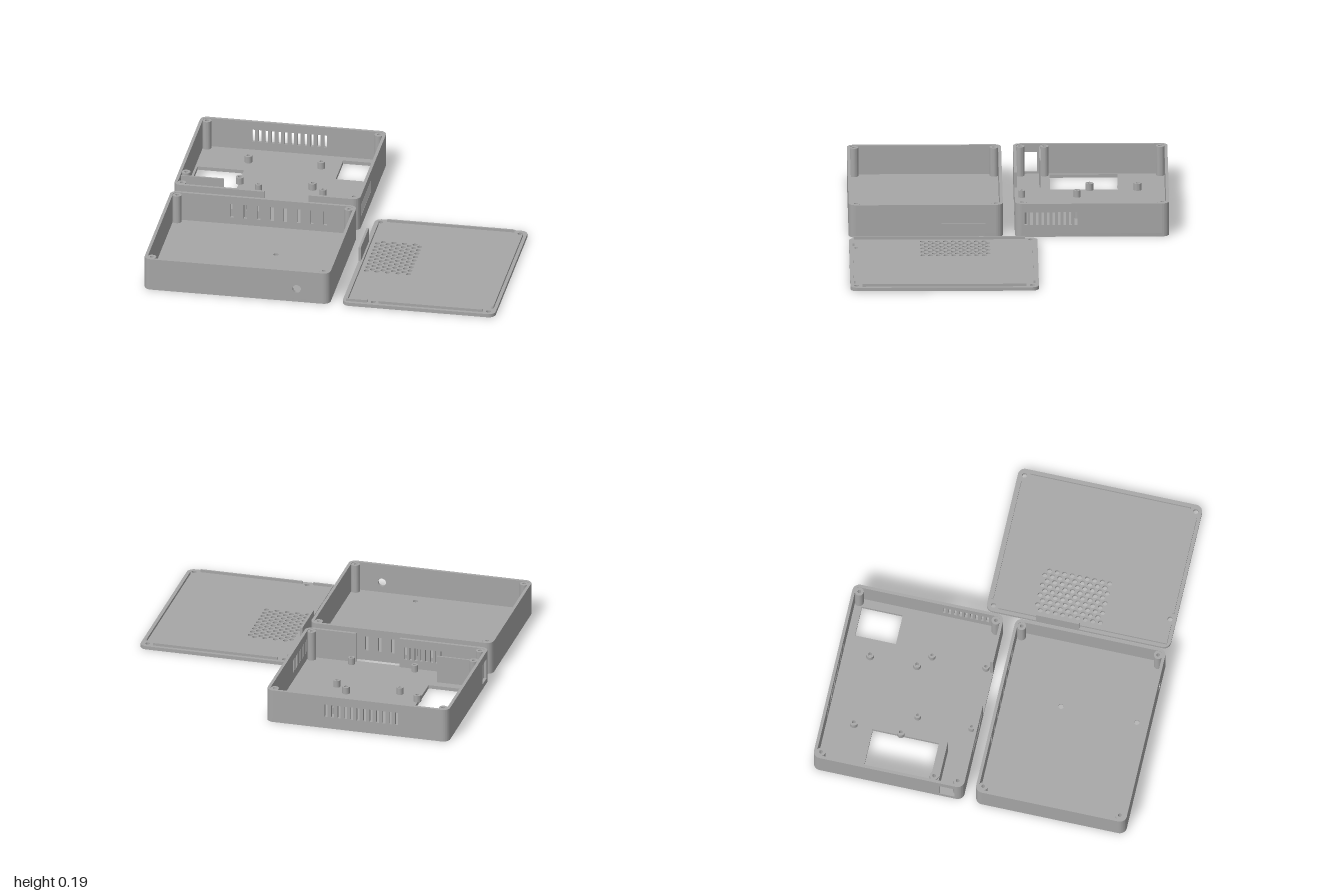
import * as THREE from 'three';
import { toCreasedNormals } from 'three/addons/utils/BufferGeometryUtils.js';

const FLOOR = 0.02, WALL = 0.017, RADIUS = 0.04;

// ---- 2D outlines ----
const circle = (x, y, r) => new THREE.Path().absarc(x, y, r, 0, Math.PI * 2, true);

function rect(x0, y0, x1, y1, Type = THREE.Path) {
  return new Type([[x0, y0], [x1, y0], [x1, y1], [x0, y1]].map(p => new THREE.Vector2(...p)));
}

function roundedRect(x0, y0, x1, y1, r, Type = THREE.Shape) {
  const s = new Type();
  s.absarc(x1 - r, y1 - r, r, 0, Math.PI / 2);
  s.absarc(x0 + r, y1 - r, r, Math.PI / 2, Math.PI);
  s.absarc(x0 + r, y0 + r, r, Math.PI, Math.PI * 1.5);
  s.absarc(x1 - r, y0 + r, r, Math.PI * 1.5, Math.PI * 2);
  s.closePath();
  return s;
}

// evenly spaced upright slots between two centre positions
function slots(from, to, count, width, y0, y1) {
  return Array.from({ length: count }, (_, i) => {
    const c = from + (to - from) * i / (count - 1);
    return rect(c - width / 2, y0, c + width / 2, y1);
  });
}

export function createModel() {
  const model = new THREE.Group();
  model.name = 'enclosure';
  const grey = new THREE.MeshStandardMaterial({ color: 0xa6a6a6 });
  grey.name = 'grey plastic';

  function extrude(shape, holes, depth) {
    shape.holes.push(...holes);
    return new THREE.ExtrudeGeometry(shape, { depth, bevelEnabled: false, curveSegments: 10 });
  }
  function add(parent, name, geometry) {
    const mesh = new THREE.Mesh(toCreasedNormals(geometry, 0.5), grey);
    mesh.name = name;
    parent.add(mesh);
  }
  // horizontal slab: outline is (x, z)
  function slab(parent, name, shape, holes, y0, y1) {
    add(parent, name, extrude(shape, holes, y1 - y0).rotateX(Math.PI / 2).translate(0, y1, 0));
  }
  // wall facing z: outline is (x, y), starting at depth z
  function wallAlongX(parent, name, x0, x1, z, height, holes = []) {
    add(parent, name, extrude(rect(x0, FLOOR, x1, height, THREE.Shape), holes, WALL).translate(0, 0, z));
  }
  // wall facing x: outline is (z, y), ending at x
  function wallAlongZ(parent, name, z0, z1, x, height, holes = []) {
    add(parent, name, extrude(rect(z0, FLOOR, z1, height, THREE.Shape), holes, WALL)
      .rotateY(-Math.PI / 2).translate(x, 0, 0));
  }
  // hollow upright post
  function post(parent, name, x, z, r, hole, top) {
    const ring = new THREE.Shape().absarc(x, z, r, 0, Math.PI * 2);
    slab(parent, name, ring, [circle(x, z, hole)], FLOOR, top);
  }
  // rounded wall corners with a screw post in each
  function corners(parent, x0, z0, x1, z1, height) {
    [[x1, z1, 0], [x0, z1, 1], [x0, z0, 2], [x1, z0, 3]].forEach(([x, z, q]) => {
      const cx = x === x0 ? x + RADIUS : x - RADIUS;
      const cz = z === z0 ? z + RADIUS : z - RADIUS;
      const a = q * Math.PI / 2, b = a + Math.PI / 2;
      const arc = new THREE.Shape();
      arc.absarc(cx, cz, RADIUS, a, b, false);
      arc.absarc(cx, cz, RADIUS - WALL, b, a, true);
      arc.closePath();
      slab(parent, 'wallCorner', arc, [], FLOOR, height);
      post(parent, 'screwPost', cx, cz, 0.025, 0.01, height - 0.003);
    });
  }

  // ---- base tray at the back ----
  const base = new THREE.Group();
  base.name = 'baseTray';
  model.add(base);
  {
    const x0 = -1, x1 = 0.06, z0 = -0.9, z1 = -0.035, h = 0.195;
    slab(base, 'baseFloor', roundedRect(x0, z0, x1, z1, RADIUS),
      [rect(-0.97, -0.62, -0.705, -0.24), rect(-0.18, -0.84, -0.005, -0.605)], 0, FLOOR);
    corners(base, x0, z0, x1, z1, h);
    wallAlongX(base, 'baseBackWall', x0 + RADIUS, x1 - RADIUS, z0, h,
      slots(-0.7, -0.29, 12, 0.017, 0.07, 0.145));
    // front wall, interrupted by a cable notch
    wallAlongX(base, 'baseFrontWallRight', x0 + RADIUS, -0.485, z1 - WALL, h,
      slots(-0.73, -0.52, 8, 0.015, 0.07, 0.145));
    wallAlongX(base, 'baseFrontWallLeft', -0.23, x1 - RADIUS, z1 - WALL, h);
    wallAlongZ(base, 'baseLeftWall', z0 + RADIUS, z1 - RADIUS, x1, h,
      slots(-0.377, -0.097, 10, 0.015, 0.07, 0.145));
    // right wall with a socket opening and its inner partition
    wallAlongZ(base, 'baseRightWall', z0 + RADIUS, z1 - RADIUS, x0 + WALL, h,
      [rect(-0.17, 0.03, -0.085, 0.15)]);
    slab(base, 'partition', rect(x0 + WALL, -0.19, -0.74, -0.18, THREE.Shape), [], FLOOR, 0.18);
    post(base, 'screwPost', -0.96, -0.21, 0.025, 0.01, h - 0.003);
    // board standoffs
    for (const x of [-0.7, -0.285]) for (const z of [-0.73, -0.46])
      post(base, 'largeStandoff', x, z, 0.022, 0.01, 0.06);
    for (const x of [-0.58, -0.213]) for (const z of [-0.39, -0.08])
      post(base, 'smallStandoff', x, z, 0.019, 0.008, 0.06);
  }

  // ---- second tray at the front ----
  const tray = new THREE.Group();
  tray.name = 'frontTray';
  model.add(tray);
  {
    const x0 = -1, x1 = 0.06, z0 = 0.032, z1 = 0.897, h = 0.19;
    const holes = r => [0.38, 0.815].map(z => circle(-0.34, z, r));
    // floor in two layers, so the screw holes are recessed below
    slab(tray, 'trayFloorLower', roundedRect(x0, z0, x1, z1, RADIUS), holes(0.026), 0, FLOOR / 2);
    slab(tray, 'trayFloorUpper', roundedRect(x0, z0, x1, z1, RADIUS), holes(0.015), FLOOR / 2, FLOOR);
    corners(tray, x0, z0, x1, z1, h);
    wallAlongX(tray, 'trayBackWall', x0 + RADIUS, x1 - RADIUS, z0, h,
      slots(-0.65, -0.12, 8, 0.02, 0.06, 0.145));
    wallAlongX(tray, 'trayFrontWall', x0 + RADIUS, x1 - RADIUS, z1 - WALL, h,
      [circle(-0.127, 0.08, 0.024)]);
    wallAlongZ(tray, 'trayRightWall', z0 + RADIUS, z1 - RADIUS, x0 + WALL, h);
    wallAlongZ(tray, 'trayLeftWall', z0 + RADIUS, z1 - RADIUS, x1, h);
  }

  // ---- lid lying flat at the left ----
  const lid = new THREE.Group();
  lid.name = 'lid';
  model.add(lid);
  {
    const holes = [[0.165, -0.122], [0.96, -0.122], [0.303, 0.862], [0.96, 0.862]]
      .map(([x, z]) => circle(x, z, 0.014));
    // staggered vent grid
    for (let c = 0; c < 9; c++) for (let r = 0; r < 9; r++)
      holes.push(circle(0.195 + c * 0.03, (c % 2 ? 0.119 : 0.14) + r * 0.0432, 0.0135));
    slab(lid, 'lidPlate', roundedRect(0.13, -0.16, 1, 0.897, RADIUS), holes, 0, FLOOR);
    // locating ribs, leaving gaps at the screws
    const ribs = [
      [0.2, -0.14, 0.925, -0.131], [0.972, -0.09, 0.981, 0.83], [0.335, 0.868, 0.925, 0.877],
      [0.15, 0.868, 0.27, 0.877], [0.15, -0.09, 0.159, 0.868],
    ];
    for (const r of ribs) slab(lid, 'lidRib', rect(...r, THREE.Shape), [], FLOOR, 0.035);
    // upright tab on the edge
    slab(lid, 'lidTab', rect(0.13, 0.13, 0.143, 0.377, THREE.Shape), [], FLOOR, 0.105);
  }
  return model;
}
